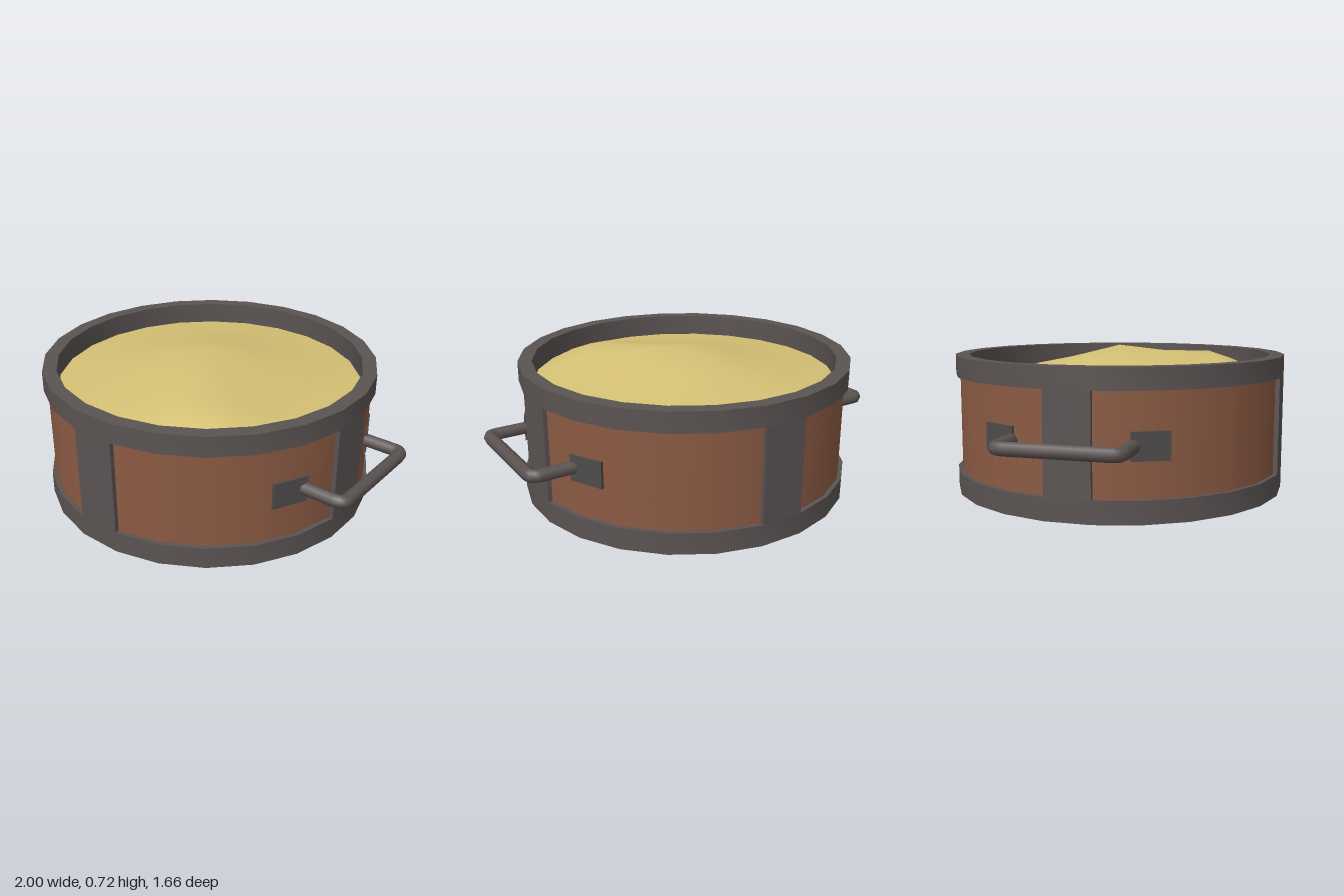
import * as THREE from 'three';
import { toCreasedNormals, mergeVertices } from 'three/addons/utils/BufferGeometryUtils.js';

const SIDES = 24;
const STEP = Math.PI * 2 / SIDES;
const R = 0.838;       // outer corner radius of the iron frame
const R_WOOD = 0.817;  // recessed wooden wall
const R_IN = 0.768;    // inside wall

const iron = new THREE.MeshStandardMaterial({ color: 0x5a5352 });
const plateIron = new THREE.MeshStandardMaterial({ color: 0x4e4c4b });
const wood = new THREE.MeshStandardMaterial({ color: 0x8b5a43 });
const grain = new THREE.MeshStandardMaterial({ color: 0xd4c074 });

const lathe = (pts) => new THREE.LatheGeometry(
  pts.map(([x, y]) => new THREE.Vector2(x, y)), SIDES, STEP / 2);

function add(parent, name, geometry, material) {
  const mesh = new THREE.Mesh(geometry, material);
  mesh.name = name;
  parent.add(mesh);
  return mesh;
}

// Faceted heap, highest in the middle, with a gentle swell to one side
function heapGeometry() {
  const geo = lathe([[R_IN, 0.57], [0.64, 0.585], [0.52, 0.602], [0.26, 0.655], [0, 0.72]]);
  const p = geo.attributes.position;
  for (let i = 0; i < p.count; i++) {
    const x = p.getX(i), z = p.getZ(i), r = Math.hypot(x, z);
    const d2 = (x - 0.29) ** 2 + (z - 0.4) ** 2;
    if (r > 0.01 && r < 0.76) p.setY(i, p.getY(i) + 0.075 * Math.exp(-d2 / 0.06));
  }
  geo.deleteAttribute('uv');
  geo.deleteAttribute('normal');
  const merged = mergeVertices(geo, 1e-4);
  merged.computeVertexNormals();
  return merged;
}

// Handle bar: two arms and a grip joined by small rounded corners
function handleGeometry() {
  const y = 0.34, zx = 0.28, x0 = 0.76, x1 = 0.968, c = 0.045;
  const v = (x, z) => new THREE.Vector3(x, y, z);
  const path = new THREE.CurvePath();
  path.add(new THREE.LineCurve3(v(x0, zx), v(x1 - c, zx)));
  path.add(new THREE.QuadraticBezierCurve3(v(x1 - c, zx), v(x1, zx), v(x1, zx - c)));
  path.add(new THREE.LineCurve3(v(x1, zx - c), v(x1, c - zx)));
  path.add(new THREE.QuadraticBezierCurve3(v(x1, c - zx), v(x1, -zx), v(x1 - c, -zx)));
  path.add(new THREE.LineCurve3(v(x1 - c, -zx), v(x0, -zx)));
  return new THREE.TubeGeometry(path, 60, 0.032, 8, false);
}

export function createModel() {
  const group = new THREE.Group();
  group.name = 'tub';

  // Iron base with closed bottom, and rim with the inside wall
  add(group, 'baseBand', toCreasedNormals(
    lathe([[0, 0], [R, 0], [R, 0.107], [R_WOOD - 0.02, 0.107]]), Math.PI / 6), iron);
  add(group, 'rimBand', toCreasedNormals(
    lathe([[R_WOOD - 0.02, 0.58], [R, 0.58], [R, 0.68], [R_IN, 0.68], [R_IN, 0.45]]), Math.PI / 6), iron);

  // Wooden wall between the bands
  add(group, 'woodenWall', lathe([[R_WOOD, 0.09], [R_WOOD, 0.6]]), wood);

  // Four upright straps, each one facet wide
  const strapWidth = 2 * R * Math.sin(STEP / 2);
  const apothem = R * Math.cos(STEP / 2);
  for (let i = 0; i < 4; i++) {
    const geo = new THREE.BoxGeometry(strapWidth, 0.475, 0.04);
    geo.translate(0, 0.3435, apothem - 0.02);
    add(group, 'strap', geo, iron).rotation.y = i * Math.PI / 2;
  }

  // Handles with their mounting plates
  for (const turn of [0, Math.PI]) {
    const side = new THREE.Group();
    side.name = turn ? 'rightHandle' : 'leftHandle';
    side.rotation.y = turn;
    add(side, 'handleBar', handleGeometry(), iron);
    for (const s of [1, -1]) {
      const plate = add(side, 'handlePlate', new THREE.BoxGeometry(0.03, 0.13, 0.175), plateIron);
      plate.position.set(0.729, 0.34, s * 0.345);
      plate.rotation.y = -s * 0.45;
    }
    group.add(side);
  }

  add(group, 'heap', heapGeometry(), grain);
  return group;
}
